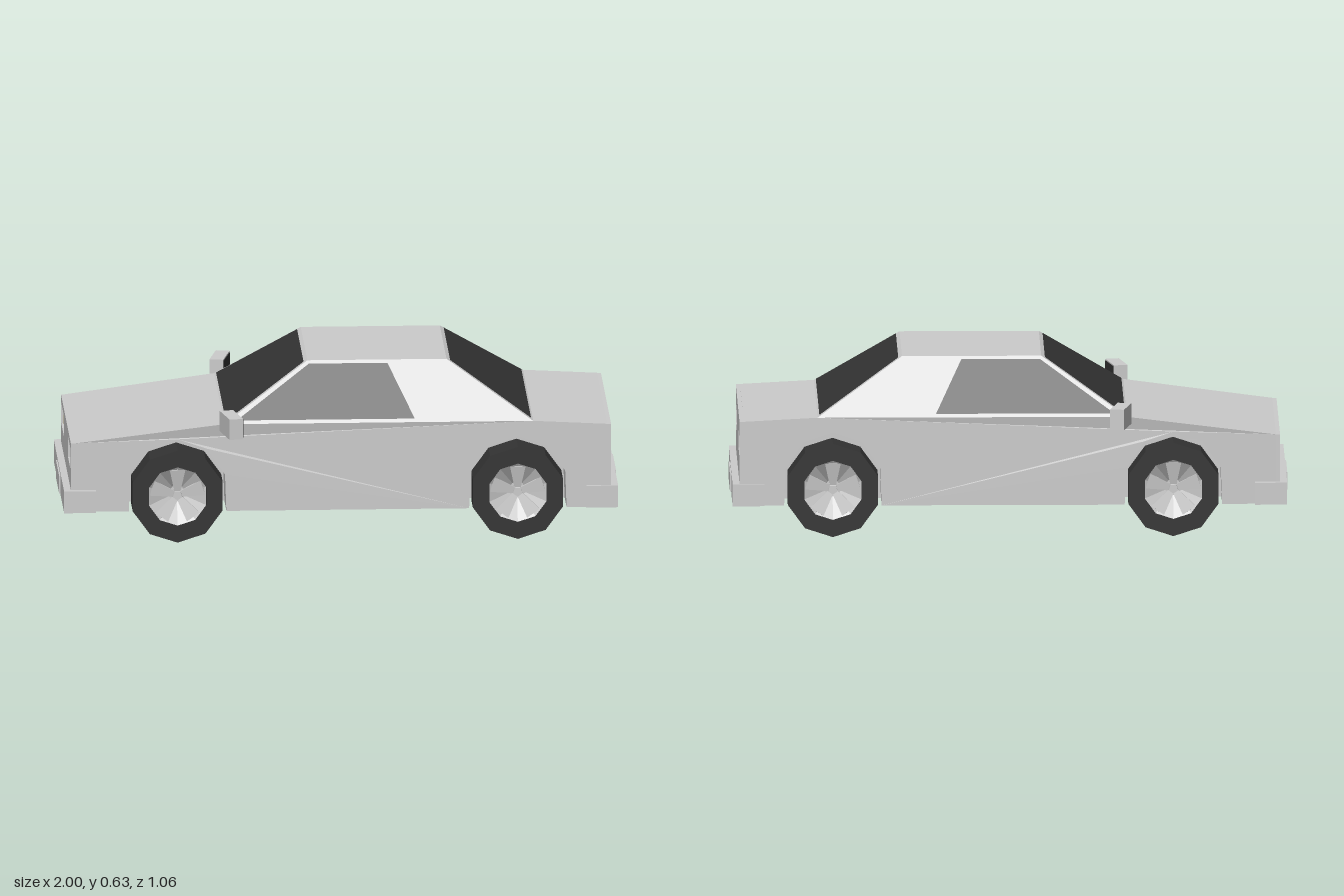
import * as THREE from 'three';

const mat = (color) => new THREE.MeshStandardMaterial({ color, flatShading: true, side: THREE.DoubleSide });
const paint = mat(0xcccccc);
const dark = mat(0x333333);
const red = mat(0xe63a3a);
const cream = mat(0xd6cba0);

const polygon = (pts) => new THREE.Shape(pts.map(([x, y]) => new THREE.Vector2(x, y)));
const extrude = (shape, depth) => new THREE.ExtrudeGeometry(shape, { depth, bevelEnabled: false });

function add(parent, name, geometry, material, x = 0, y = 0, z = 0) {
  const mesh = new THREE.Mesh(geometry, material);
  mesh.name = name;
  mesh.position.set(x, y, z);
  parent.add(mesh);
  return mesh;
}

// Flat four-cornered panel
function quad(corners) {
  const g = new THREE.BufferGeometry();
  g.setAttribute('position', new THREE.Float32BufferAttribute(corners.flat(), 3));
  g.setIndex([0, 1, 2, 0, 2, 3]);
  g.computeVertexNormals();
  return g;
}

const FLOOR = 0.115, BELT = 0.435, ROOF = 0.635, HALF = 0.39, CORE = 0.24, END = 0.955;
const AXLES = [-0.587, 0.635], WHEEL_R = 0.17, WHEEL_H = 0.0625;

// Narrow the body slightly towards its nose
function taperNose(g) {
  const p = g.attributes.position;
  for (let i = 0; i < p.count; i++) {
    const t = Math.max(0, (-0.42 - p.getX(i)) / 0.535);
    p.setZ(i, p.getZ(i) * (1 - 0.036 * t));
  }
  g.computeVertexNormals();
  return g;
}

function buildBody(car) {
  const top = [[END, FLOOR], [END, 0.421], [0.69, BELT], [-0.42, BELT], [-END, 0.367], [-END, FLOOR]];
  const arch = [[-0.175, FLOOR], [-0.17, 0.25], [-0.105, 0.345], [0, 0.38], [0.105, 0.345], [0.17, 0.25], [0.175, FLOOR]];
  const arches = AXLES.flatMap((a) => arch.map(([x, y]) => [a + x, y]));

  // Central tub, then the two flanks with wheel arches
  add(car, 'bodyCore', taperNose(extrude(polygon(top), 2 * CORE).translate(0, 0, -CORE)), paint);
  for (const z of [CORE, -HALF]) {
    const flank = extrude(polygon([...top, ...arches]), HALF - CORE).translate(0, 0, z);
    add(car, z > 0 ? 'leftFlank' : 'rightFlank', taperNose(flank), paint);
  }
}

function buildEnd(car, s, name, half, height, light, lightMat) {
  // End panel with openings for the recessed lights
  const panel = polygon([[-half, FLOOR], [half, FLOOR], [half, height], [-half, height]]);
  const [z0, z1, y0, y1] = light;
  for (const m of [-1, 1]) {
    panel.holes.push(polygon([[m * z0, y0], [m * z0, y1], [m * z1, y1], [m * z1, y0]]));
    add(car, name + 'Light', new THREE.BoxGeometry(0.008, y1 - y0, z1 - z0), lightMat,
      s * (END + 0.003), (y0 + y1) / 2, m * (z0 + z1) / 2);
  }
  add(car, name + 'Panel', extrude(panel, 0.015), paint, s * END).rotation.y = s * Math.PI / 2;

  // Bumper and blank plate
  add(car, name + 'Bumper', new THREE.BoxGeometry(0.115, 0.08, 0.8), paint, s * 0.9375, 0.155, 0);
  add(car, name + 'Plate', new THREE.BoxGeometry(0.01, 0.065, 0.245), paint, s * 0.995, 0.153, 0);
}

function buildCabin(car) {
  // Box drawn in towards the roof
  const g = new THREE.BoxGeometry(1, 1, 1);
  const p = g.attributes.position;
  for (let i = 0; i < p.count; i++) {
    const up = p.getY(i) > 0;
    const x = p.getX(i) < 0 ? (up ? -0.115 : -0.42) : (up ? 0.385 : 0.69);
    p.setXYZ(i, x, up ? ROOF : BELT, Math.sign(p.getZ(i)) * (up ? 0.255 : HALF));
  }
  g.computeVertexNormals();
  add(car, 'cabin', g, paint);

  // Glass lies just proud of each sloping face
  const rise = (y) => (y - BELT) / (ROOF - BELT);
  const lo = 0.442, hi = 0.629;
  for (const [name, s, x] of [['windscreen', -1, -0.42], ['rearWindow', 1, 0.69]]) {
    const at = (y, z) => [x - s * 0.305 * rise(y) + s * 0.004, y, z];
    add(car, name, quad([at(lo, -s * -0.372), at(lo, -s * 0.372), at(hi, -s * 0.248), at(hi, s * 0.248)]), dark);
  }
  for (const s of [-1, 1]) {
    const at = (x, y) => [x, y, s * (HALF - 0.135 * rise(y) + 0.003)];
    const c = [at(-0.375, 0.447), at(0.265, 0.447), at(0.172, 0.625), at(-0.11, 0.625)];
    add(car, 'sideWindow', quad(s > 0 ? c : c.reverse()), dark);
  }
}

function buildMirror(s) {
  const mirror = new THREE.Group();
  mirror.name = 'mirror';
  add(mirror, 'mirrorHousing', new THREE.BoxGeometry(0.05, 0.075, 0.14), paint);
  add(mirror, 'mirrorGlass', new THREE.BoxGeometry(0.004, 0.066, 0.13), dark, 0.025);
  mirror.position.set(-0.397, 0.448, s * 0.457);
  mirror.rotation.y = s * 0.21;
  return mirror;
}

function buildWheel() {
  const wheel = new THREE.Group();
  wheel.name = 'wheel';
  const lathe = (pts) => new THREE.LatheGeometry(pts.map(([r, y]) => new THREE.Vector2(r, y)), 10).rotateX(Math.PI / 2);
  const h = WHEEL_H, r = 0.108;
  add(wheel, 'tyre', lathe([[r, -h], [WHEEL_R, -h], [WHEEL_R, h], [r, h], [r, -h]]), dark);

  // Dished rim with five wedge spokes on each face
  const spoke = extrude(polygon([[0.012, -0.009], [0.105, -0.028], [0.105, 0.028], [0.012, 0.009]]), 0.012);
  spoke.translate(0, 0, 0.024).rotateY(-0.2);
  for (const turn of [0, Math.PI]) {
    const face = new THREE.Group();
    face.name = 'rim';
    face.rotation.y = turn;
    add(face, 'rimDish', lathe([[r, h - 0.004], [0.03, 0.012], [0, 0.012]]), paint);
    for (let i = 0; i < 5; i++) {
      add(face, 'spoke', spoke, paint).rotation.z = Math.PI / 2 + i * Math.PI * 0.4;
    }
    add(face, 'hub', new THREE.CylinderGeometry(0.018, 0.022, 0.035, 5).rotateX(Math.PI / 2), paint, 0, 0, 0.03);
    wheel.add(face);
  }
  return wheel;
}

export function createModel() {
  const car = new THREE.Group();
  car.name = 'car';
  buildBody(car);
  buildCabin(car);
  buildEnd(car, -1, 'front', 0.376, 0.366, [0.165, 0.36, 0.265, 0.34], cream);
  buildEnd(car, 1, 'rear', HALF, 0.42, [0.17, 0.348, 0.288, 0.36], red);

  // Wheels and mirrors on both sides
  for (const s of [-1, 1]) {
    car.add(buildMirror(s));
    for (const x of AXLES) {
      const wheel = buildWheel();
      wheel.position.set(x, WHEEL_R, s * 0.3285);
      car.add(wheel);
    }
  }
  return car;
}
